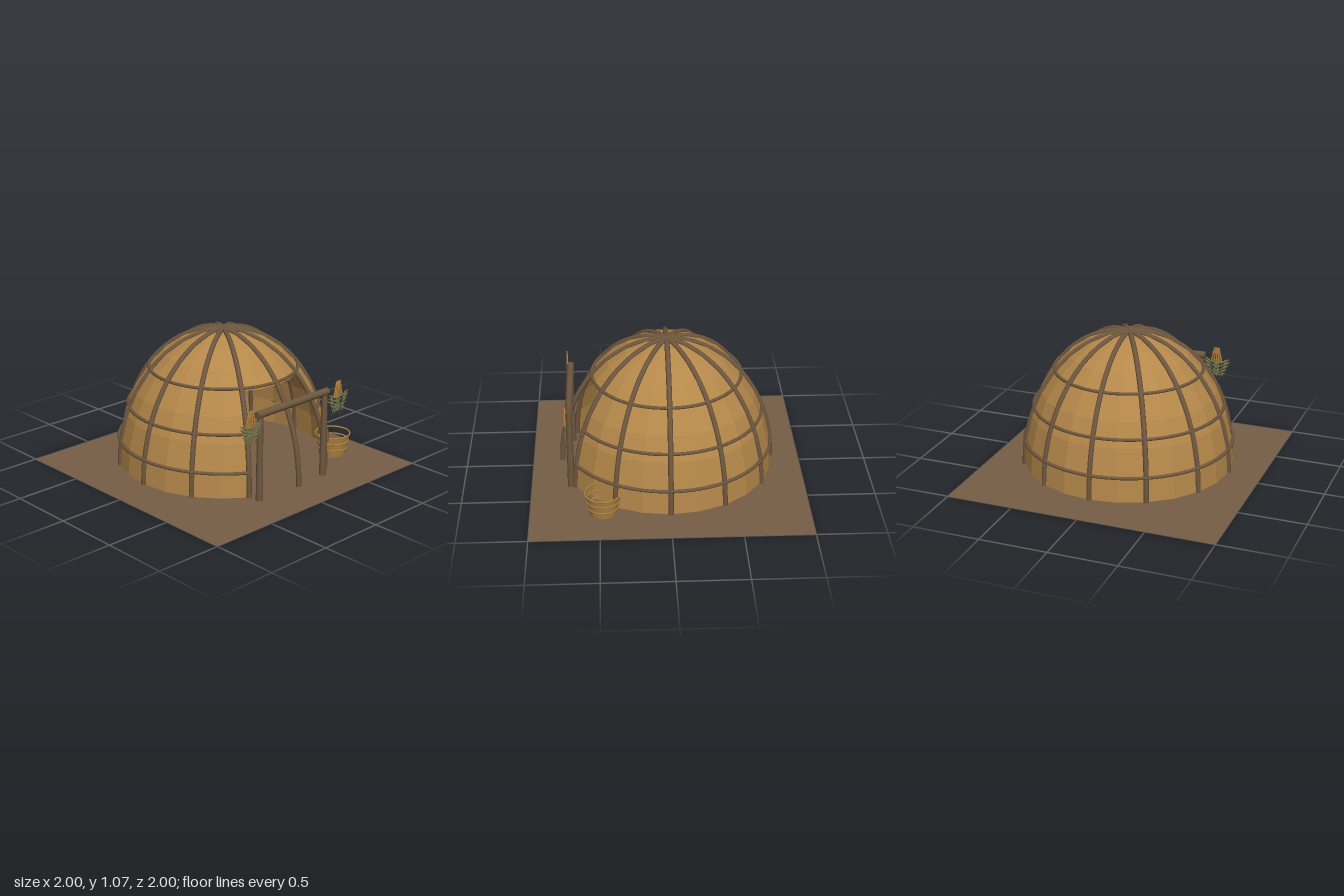
import * as THREE from 'three';

const mat = (name, color, extra = {}) => {
  const m = new THREE.MeshStandardMaterial({ color, ...extra });
  m.name = name;
  return m;
};

export function createModel() {
  const model = new THREE.Group();
  const thatch = mat('thatch', 0xb5884a, { flatShading: true, side: THREE.DoubleSide });
  const wood = mat('wood', 0x6f573e);
  const earth = mat('earth', 0x775e45, { side: THREE.DoubleSide });
  const wicker = mat('wicker', 0xb08544);
  const leafGreen = mat('leafGreen', 0x74764a, { flatShading: true });
  const straw = mat('straw', 0xb0803c, { flatShading: true });

  const add = (name, geo, material, x = 0, y = 0, z = 0, parent = model) => {
    const m = new THREE.Mesh(geo, material);
    m.name = name;
    m.position.set(x, y, z);
    parent.add(m);
    return m;
  };

  // Ground sheet
  add('ground', new THREE.PlaneGeometry(2, 2).rotateX(-Math.PI / 2), earth);

  // Dome shell: full cap above, lower wall open 60 degrees at the front
  const R = 0.78, BASE = 0.05, H = 1.0, Q = Math.PI / 4;
  add('domeCap', new THREE.SphereGeometry(1, 24, 4, 0, Math.PI * 2, 0, Q).scale(R, H, R), thatch, 0, BASE);
  add('domeWall', new THREE.SphereGeometry(1, 20, 4, Math.PI * 2 / 3, Math.PI * 5 / 3, Q, Q).scale(R, H, R), thatch, 0, BASE);

  // Bent poles from the ground to the crown
  const ribPath = new THREE.CatmullRomCurve3(Array.from({ length: 13 }, (_, i) => {
    const t = i / 12 * Math.PI / 2;
    return new THREE.Vector3(0, BASE + H * Math.sin(t), R * Math.cos(t));
  }));
  const ribGeo = new THREE.TubeGeometry(ribPath, 24, 0.019, 8);
  const ribCap = new THREE.CircleGeometry(0.019, 8).rotateX(Math.PI / 2);
  for (let i = 0; i < 12; i++) {
    const a = i * Math.PI / 6;
    add('rib', ribGeo, wood).rotation.y = a;
    add('ribEnd', ribCap, wood, R * Math.sin(a), BASE, R * Math.cos(a));
  }

  // Horizontal hoops; the lower two stop at the doorway
  for (const [y, r, open] of [[0.235, 0.775, true], [0.495, 0.702, true], [0.775, 0.545, false]]) {
    const arc = open ? Math.PI * 5 / 3 : Math.PI * 2;
    const geo = new THREE.TorusGeometry(r, 0.012, 8, 60, arc);
    geo.rotateZ(Math.PI * 2 / 3).rotateX(Math.PI / 2);
    add('hoop', geo, wood, 0, y);
  }

  // Door frame
  for (const s of [-1, 1]) {
    add('doorPost', new THREE.CylinderGeometry(0.022, 0.026, 0.64, 10), wood, s * 0.325, 0.34, 0.71);
  }
  add('lintel', new THREE.CylinderGeometry(0.027, 0.027, 0.71, 10).rotateZ(Math.PI / 2), wood, 0, 0.662, 0.708);

  // Hanging herb bundles beside the door
  const stalk = new THREE.CylinderGeometry(0.005, 0.007, 0.12, 5);
  const leaf = new THREE.OctahedronGeometry(1).scale(0.013, 0.05, 0.005).translate(0, 0.045, 0);
  const tip = new THREE.ConeGeometry(0.006, 0.08, 5).rotateX(Math.PI);
  for (const s of [-1, 1]) {
    const bundle = new THREE.Group();
    bundle.name = 'herbBundle';
    bundle.position.set(s * 0.44, 0, 0.735);
    model.add(bundle);
    for (let i = -2; i <= 2; i++) {
      add('strawStalk', stalk, straw, i * 0.015, 0.665, 0, bundle).rotation.z = i * 0.1;
      add('stemTip', tip, leafGreen, i * 0.025, 0.505, 0, bundle).rotation.z = i * 0.16;
    }
    add('strawTie', new THREE.BoxGeometry(0.06, 0.012, 0.012), straw, 0, 0.685, 0, bundle);
    // Two side by side sprays of paired leaves
    for (const cx of [-0.035, 0.035]) {
      for (let row = 0; row < 5; row++) {
        for (const side of [-1, 1]) {
          const m = add('leaf', leaf, leafGreen, cx * (1 - row * 0.1), 0.6 - row * 0.026, side * cx > 0 ? 0.004 : -0.002, bundle);
          m.rotation.z = -side * 1.05;
          m.scale.setScalar(1 - Math.abs(row - 1) * 0.12);
        }
      }
    }
  }

  // Open basket with woven bands
  const basket = new THREE.Group();
  basket.name = 'basket';
  basket.position.set(0.683, 0, 0.478);
  model.add(basket);
  add('basketWall', new THREE.CylinderGeometry(0.13, 0.1, 0.165, 20, 1, true), wicker, 0, 0.103, 0, basket);
  for (const [y, r] of [[0.075, 0.11], [0.13, 0.12], [0.183, 0.13]]) {
    add('basketBand', new THREE.TorusGeometry(r, 0.006, 6, 24).rotateX(Math.PI / 2), wicker, 0, y, 0, basket);
  }
  return model;
}
